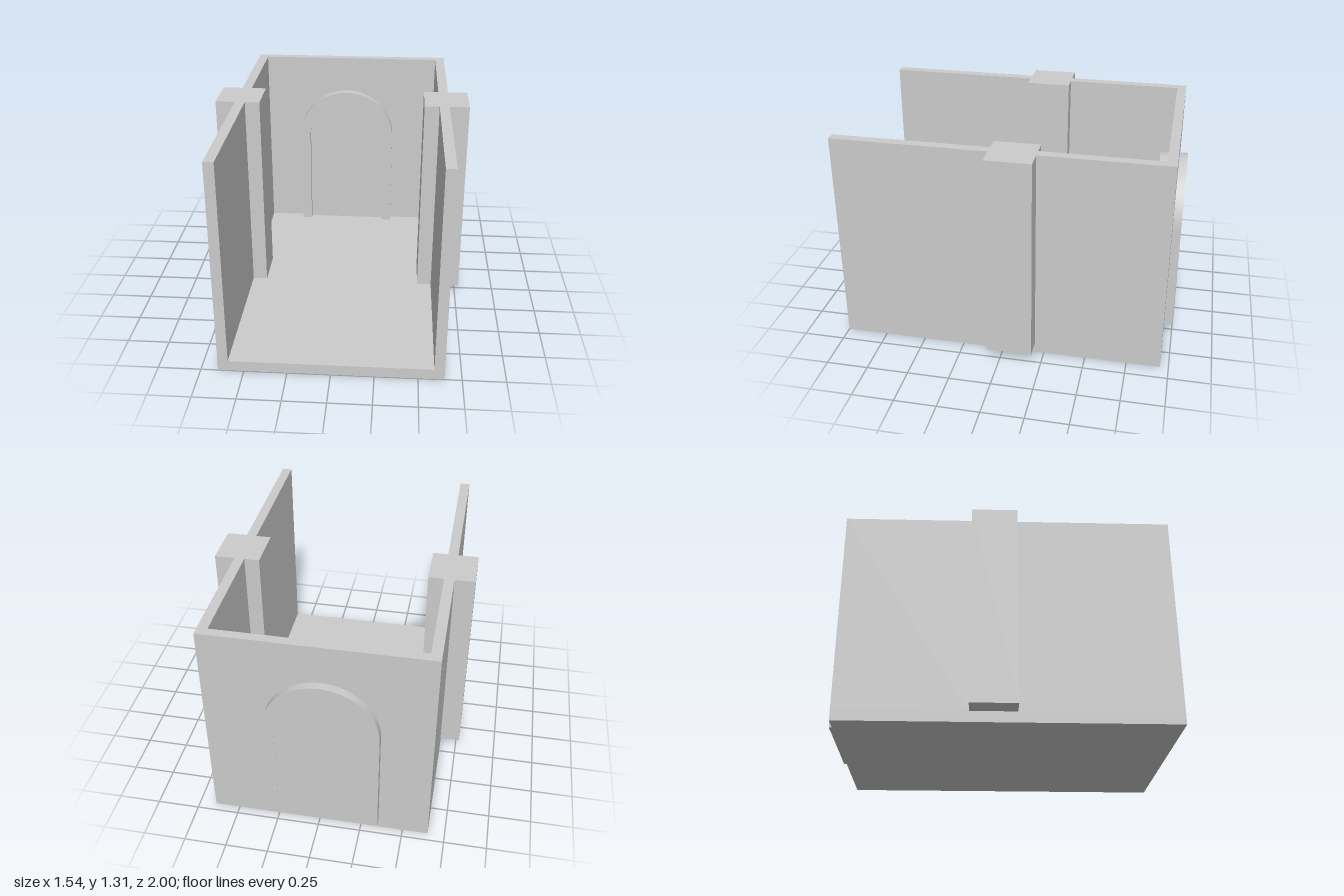
import * as THREE from 'three';
import { toCreasedNormals } from 'three/addons/utils/BufferGeometryUtils.js';

const FLOOR = 0.065, TOP = 1.305;

export function createModel() {
  const group = new THREE.Group();
  const material = new THREE.MeshStandardMaterial({ color: 0xcccccc });

  const add = (name, geometry, x = 0, y = 0, z = 0) => {
    const mesh = new THREE.Mesh(geometry, material);
    mesh.name = name;
    mesh.position.set(x, y, z);
    group.add(mesh);
  };
  const extrude = (shape, depth) => new THREE.ExtrudeGeometry(shape, {
    depth, bevelEnabled: false, curveSegments: 32,
  });

  // Floor slab
  add('floor', new THREE.BoxGeometry(1.3, FLOOR, 1.95), 0, FLOOR / 2, 0.025);

  // Three walls with a pillar through each side, as one plan outline [x, z]
  const half = [
    [0.65, -0.95], [0.65, -0.195], [0.77, -0.195], [0.77, 0.075], [0.65, 0.075], [0.65, 1],
    [0.59, 1], [0.59, 0.075], [0.5, 0.075], [0.5, -0.195], [0.59, -0.195], [0.59, -0.895],
  ];
  const mirrored = half.map(([x, z]) => [-x, z]).reverse();
  const plan = new THREE.Shape([...half, ...mirrored].map(([x, z]) => new THREE.Vector2(x, -z)));
  const walls = extrude(plan, TOP - FLOOR);
  walls.rotateX(-Math.PI / 2);
  add('wallsAndPillars', walls, 0, FLOOR, 0);

  // Arched door frame running through the back wall, slightly off centre
  const doorX = -0.026, spring = 0.74, base = 0.07, outer = 0.329, inner = 0.264;
  const frame = new THREE.Shape();
  frame.moveTo(outer, base);
  frame.lineTo(outer, spring);
  frame.absarc(0, spring, outer, 0, Math.PI, false);
  frame.lineTo(-outer, base);
  frame.lineTo(-inner, base);
  frame.lineTo(-inner, spring);
  frame.absarc(0, spring, inner, Math.PI, 0, true);
  frame.lineTo(inner, base);
  frame.closePath();
  add('doorFrame', toCreasedNormals(extrude(frame, 0.165), 0.6), doorX, 0, -1);

  // Door panel, nearly flush outside and recessed inside
  const panel = new THREE.Shape();
  panel.moveTo(-inner, base);
  panel.lineTo(inner, base);
  panel.lineTo(inner, spring);
  panel.absarc(0, spring, inner, 0, Math.PI, false);
  panel.closePath();
  add('doorPanel', toCreasedNormals(extrude(panel, 0.129), 0.6), doorX, 0, -0.999);

  return group;
}
